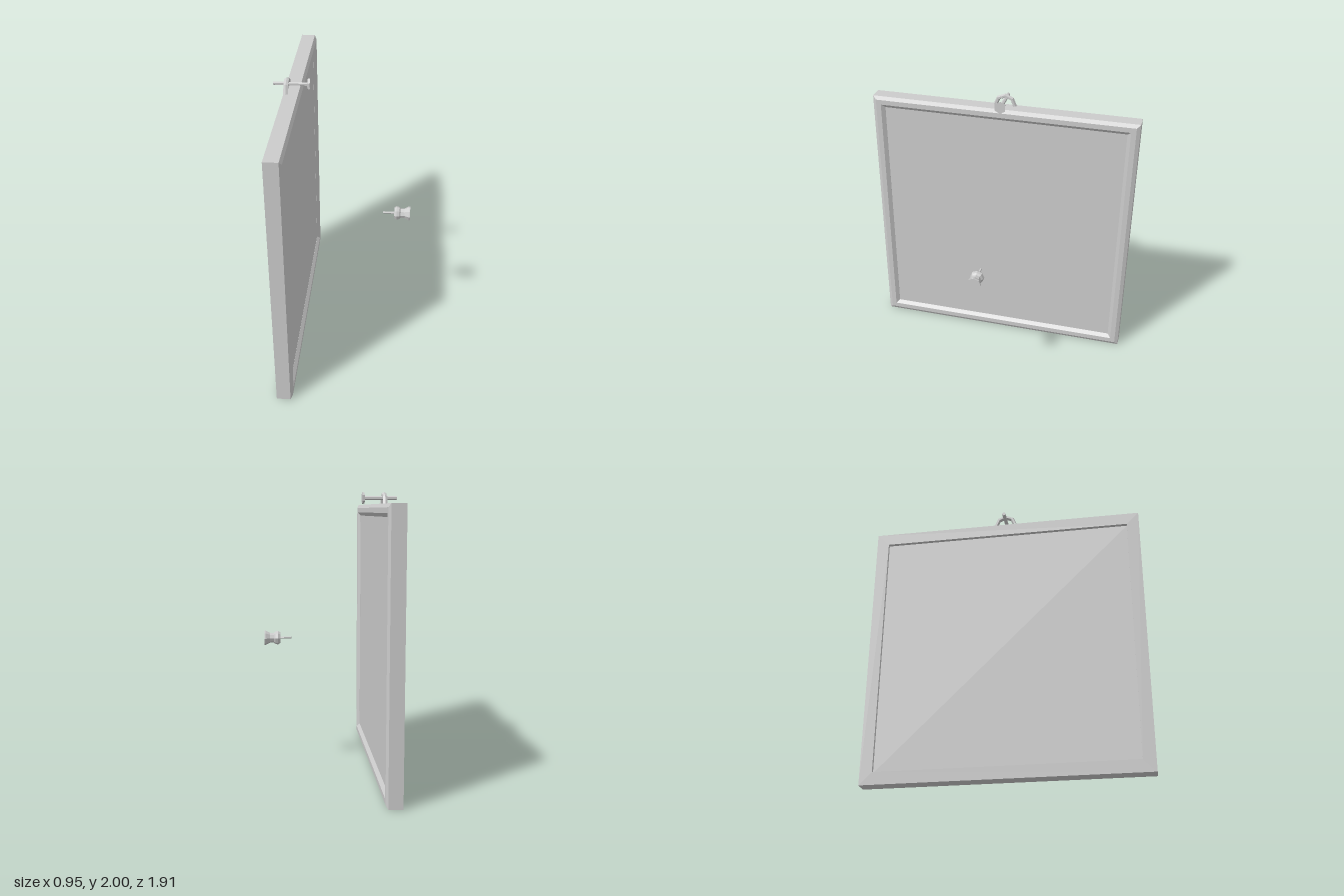
import * as THREE from 'three';

const mat = new THREE.MeshStandardMaterial({ color: 0xcccccc, flatShading: true });

// Turned part lying along x; profile is [radius, x] pairs running towards +x
function turned(name, profile, sides, y, phase = 0) {
  const points = profile.map(([r, x]) => new THREE.Vector2(r, x));
  const geometry = new THREE.LatheGeometry(points, sides, phase);
  geometry.rotateZ(-Math.PI / 2);
  const mesh = new THREE.Mesh(geometry, mat);
  mesh.name = name;
  mesh.position.y = y;
  return mesh;
}

export function createModel() {
  const model = new THREE.Group();
  model.name = 'framedBoard';
  const midY = 0.957;

  // Square frame: a moulding swept round four mitred corners
  const moulding = [
    [0.872, -0.402], [0.957, -0.402], [0.957, -0.305], [0.932, -0.29],
    [0.897, -0.29], [0.872, -0.312], [0.872, -0.402],
  ].map(([half, x]) => [half * Math.SQRT2, x]);
  model.add(turned('frame', moulding, 4, midY, Math.PI / 4));

  // Panel recessed inside the frame
  const panel = new THREE.Mesh(new THREE.BoxGeometry(0.065, 1.746, 1.746), mat);
  panel.name = 'panel';
  panel.position.set(-0.3455, midY, 0);
  model.add(panel);

  // Hanging loop standing on the top edge
  const loopGeometry = new THREE.TorusGeometry(0.069, 0.015, 6, 4, Math.PI);
  loopGeometry.rotateY(Math.PI / 2);
  const loop = new THREE.Mesh(loopGeometry, mat);
  loop.name = 'hangingLoop';
  loop.position.set(-0.387, 1.915, 0);
  loop.scale.x = 1.2;
  model.add(loop);

  // Wall nail passing through the loop, with a six-sided head
  model.add(turned('nail', [
    [0, -0.477], [0.013, -0.477], [0.013, -0.247], [0.039, -0.247],
    [0.043, -0.23], [0, -0.23],
  ], 6, 1.957, Math.PI / 2));

  // Push pin in front of the board: thin needle and waisted grip
  const pin = new THREE.Group();
  pin.name = 'pushPin';
  pin.add(turned('pinNeedle', [[0, 0.275], [0.008, 0.28], [0.008, 0.365]], 6, midY));
  pin.add(turned('pinGrip', [
    [0, 0.358], [0.04, 0.358], [0.05, 0.375], [0.046, 0.393], [0.035, 0.405],
    [0.036, 0.432], [0.052, 0.463], [0.052, 0.472], [0, 0.472],
  ], 8, midY));
  pin.position.y = 0.004;
  model.add(pin);

  return model;
}
